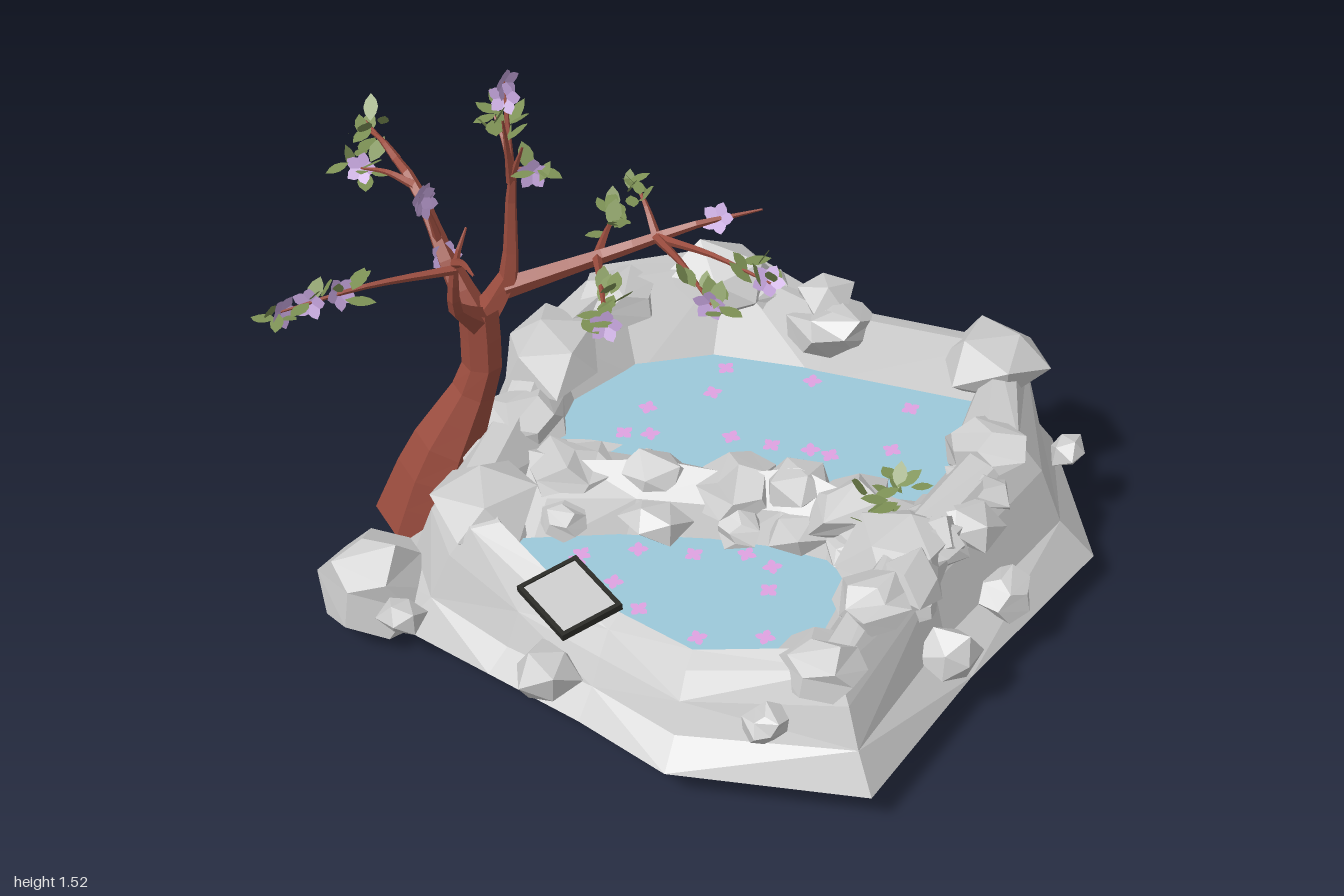
import * as THREE from 'three';

const mat = (color, side = THREE.FrontSide) =>
  new THREE.MeshStandardMaterial({ color, side, flatShading: true });
const lerp = THREE.MathUtils.lerp;

let seed = 7;
const rnd = () => (seed = (seed * 16807) % 2147483647) / 2147483647;

// Skin between rows of [x, y, z] points
function loft(rows, closed) {
  const pos = [];
  const n = rows[0].length;
  for (let r = 0; r < rows.length - 1; r++) {
    for (let i = 0; i < (closed ? n : n - 1); i++) {
      const j = (i + 1) % n;
      const [a, b, c, d] = [rows[r][i], rows[r][j], rows[r + 1][j], rows[r + 1][i]];
      pos.push(...((i + r) % 2 ? [a, b, c, a, c, d] : [a, b, d, b, c, d]).flat());
    }
  }
  const g = new THREE.BufferGeometry();
  g.setAttribute('position', new THREE.Float32BufferAttribute(pos, 3));
  g.computeVertexNormals();
  return g;
}

// Tapering branch along a curve
function branchGeometry(curve, radii, sides) {
  const seg = 8;
  const g = new THREE.TubeGeometry(curve, seg, 1, sides, false);
  const p = g.attributes.position;
  for (let i = 0; i <= seg; i++) {
    const c = curve.getPointAt(i / seg);
    const t = (i / seg) * (radii.length - 1);
    const k = Math.min(Math.floor(t), radii.length - 2);
    const r = lerp(radii[k], radii[k + 1], t - k);
    for (let j = 0; j <= sides; j++) {
      const q = i * (sides + 1) + j;
      const v = new THREE.Vector3().fromBufferAttribute(p, q).sub(c).multiplyScalar(r).add(c);
      p.setXYZ(q, v.x, v.y, v.z);
    }
  }
  return g;
}

// Irregular boulder: corners pushed in and out by a rule
function rockGeometry(k) {
  const g = k % 2 ? new THREE.IcosahedronGeometry(1, 0) : new THREE.DodecahedronGeometry(1, 0);
  const p = g.attributes.position;
  for (let i = 0; i < p.count; i++) {
    const f = 0.98 + 0.17 * Math.sin(p.getX(i) * 5.1 + p.getY(i) * 7.7 + p.getZ(i) * 3.3 + k * 2.1);
    p.setXYZ(i, p.getX(i) * f, p.getY(i) * f, p.getZ(i) * f);
  }
  return g;
}

// Flat pointed leaf or petal growing along +y
function bladeGeometry(length, width) {
  const s = new THREE.Shape();
  s.quadraticCurveTo(width, length * 0.5, 0, length);
  s.quadraticCurveTo(-width, length * 0.5, 0, 0);
  return new THREE.ShapeGeometry(s, 4);
}

export function createModel() {
  const root = new THREE.Group();
  const add = (parent, name, geo, material) => {
    const m = new THREE.Mesh(geo, material);
    m.name = name;
    parent.add(m);
    return m;
  };
  const group = (name) => {
    const g = new THREE.Group();
    g.name = name;
    root.add(g);
    return g;
  };
  const stone = mat(0xcccccc), stoneThin = mat(0xcccccc, THREE.DoubleSide);
  const water = mat(0x9cc9da, THREE.DoubleSide), bark = mat(0x9a4c3e);
  const leafMat = mat(0x7d9155, THREE.DoubleSide), bloomMat = mat(0xbfa0d6, THREE.DoubleSide);
  const petalMat = mat(0xdca0de, THREE.DoubleSide), dark = mat(0x2a2a26);

  // Mound stations, counterclockwise from the front: ground x, z, pool edge x, z, ridge height
  const stations = [
    [.2, .8, .2, .54, .3], [.49, .84, .42, .56, .31], [.97, .63, .66, .46, .36], [.96, .1, .62, .05, .43],
    [1, -.51, .63, -.3, .46], [.66, -.91, .55, -.58, .52], [.13, -.82, .13, -.47, .52], [-.33, -.9, -.15, -.37, .57],
    [-.78, -.56, -.3, -.22, .58], [-.73, -.05, -.35, 0, .52], [-.64, .22, -.3, .16, .45], [-.6, .6, -.2, .5, .43],
    [-.4, .76, -.1, .53, .41], [-.1, .78, 0, .54, .34]];
  const ring = (t, height, wobble = 0) => stations.map((s, i) => {
    const u = t + wobble * Math.sin(i * 2.4);
    return [lerp(s[0], s[2], u), height(s) + wobble * .5 * Math.sin(i * 3.7), lerp(s[1], s[3], u)];
  });
  const ground = ring(0, () => .1);
  const lip = ring(.74, (s) => s[4] + .03, .03);
  const poolEdge = ring(1, (s) => (s[3] > .3 ? .25 : .36));
  const slope = [ring(.24, (s) => .12 + s[4] * .18, .04), ring(.38, (s) => s[4] * .82, .03), ring(.54, (s) => s[4] + .01, .04)];
  add(root, 'rockMound', loft([ground, ...slope, lip, poolEdge], true), stone);

  // Stone step between the two pools: x, back z, front z, crest height
  const cols = [[-.42, .14, .56, .42], [-.2, .1, .45, .41], [0, .03, .3, .43], [.2, -.02, .19, .42],
    [.35, -.12, .13, .45], [.5, -.1, .1, .43], [.63, -.18, .2, .43], [.74, -.2, .26, .44]];
  const stepRow = (t, height) => cols.map((c) => [c[0], height(c), lerp(c[2], c[1], t)]);
  const crest = stepRow(.6, (c) => c[3]);
  const brow = stepRow(.25, () => .36);
  add(root, 'stoneStep', loft([stepRow(0, () => .23), brow, crest, stepRow(1, () => .35)], false), stoneThin);

  // Pools bounded by the mound and the step, each with a bed just above the floor opening
  const flat = (p) => [p[0], p[2]];
  const inner = cols.slice(1, -1);
  const pools = [
    { name: 'upperPool', y: .39, pts: [...poolEdge.slice(4, 11).map(flat), ...inner.map((c) => [c[0], c[1]])] },
    { name: 'lowerPool', y: .275, pts: [...poolEdge.slice(11).map(flat), ...poolEdge.slice(0, 3).map(flat),
      ...inner.map((c) => [c[0], c[2]]).reverse()] },
  ];
  const trace = (pts, C) => new C(pts.map(([x, z]) => new THREE.Vector2(x, -z)));
  const level = (shape, y) => new THREE.ShapeGeometry(shape).rotateX(-Math.PI / 2).translate(0, y, 0);
  const floor = trace(ground.map(flat), THREE.Shape);
  pools.forEach(({ name, y, pts }) => {
    const mid = [.2, name === 'upperPool' ? -.2 : .37];
    const spread = pts.map((p) => p.map((v, i) => mid[i] + (v - mid[i]) * 1.07));
    add(root, name, level(trace(spread, THREE.Shape), y), water);
    add(root, name + 'Bed', level(trace(pts, THREE.Shape), .15), water);
    const wall = (h) => pts.map(([x, z]) => [x, h, z]);
    add(root, name + 'Basin', loft([wall(.1), wall(.15)], true), stoneThin);
    floor.holes.push(trace(pts, THREE.Path));
  });
  add(root, 'moundFloor', level(floor, .1), stoneThin);

  // Boulders: single ones round the mound and below the floor
  const boulders = group('boulders');
  const rocks = [[-.53, .15, .68, .16], [-.38, .17, .78, .06], [-.75, .17, -.05, .06], [.08, .18, .76, .09], [.71, .29, .72, .055],
    [.92, .2, .15, .08], [.92, .2, -.14, .08], [.81, .27, -.69, .055], [-.07, .54, -.56, .06], [.07, .54, -.61, .085],
    [.4, .1, .14, .11], [-.2, .1, -.08, .11], [.12, .1, -.5, .08], [.66, .1, .42, .06], [.1, .1, .45, .06]];
  const place = ([x, y, z, r], k, flatness) => {
    const m = add(boulders, 'boulder', rockGeometry(k), stone);
    m.position.set(x, y, z);
    m.scale.set(r * 1.05, r * flatness, r);
    m.rotation.set(0, k * 1.3, flatness < .9 ? .3 * Math.sin(k * 2) : 0);
  };
  rocks.forEach((r, k) => place(r, k, .95));

  // Slabs lying along the pool rim, the right-hand ledge and the step
  const slabs = [];
  lip.slice(2, 12).forEach(([x, y, z], i) => slabs.push([x, y - .05, z, .12 + .03 * (i % 2)]));
  for (let i = 0; i < 5; i++) slabs.push([.76 + .04 * (i % 2), .4, .3 - i * .14, .1]);
  crest.forEach(([x, y, z], i) => slabs.push([x, y - .05, z, .1 + .02 * (i % 2)]));
  brow.forEach(([x, y, z], i) => slabs.push([x + .06, y - .04, z, .09 - .02 * (i % 2)]));
  slabs.forEach((r, k) => place(r, k, .65));

  // Tree: trunk and main limbs
  const tree = group('tree');
  const path = (pts) => new THREE.CatmullRomCurve3(pts.map((p) => new THREE.Vector3(...p)), false, 'catmullrom', .25);
  add(tree, 'trunk', branchGeometry(path([[-.61, .13, .36], [-.56, .35, .34], [-.47, .62, .27], [-.47, .83, .27]]),
    [.145, .105, .056, .056], 7), bark);
  const limbs = [
    [[-.47, .78, .26], [-.41, .92, .21], [-.4, 1.2, .2], [-.33, 1.36, .24]],
    [[-.48, .79, .27], [-.56, .92, .27], [-.7, 1.1, .22], [-.97, 1.13, .08]],
    [[-.47, .78, .27], [-.44, .92, .41], [-.4, 1.1, .45], [-.39, 1.19, .41]],
    [[-.42, .88, .22], [-.2, .96, .01], [-.03, 1.05, -.08], [.1, 1.07, -.22]],
  ].map(path);
  limbs.forEach((c, i) => add(tree, 'limb', branchGeometry(c, [i < 3 ? .045 : .032, .022, .014, .003], 5), bark));

  // Leaves and five-petalled blossoms
  const foliage = group('foliage');
  const leafGeo = bladeGeometry(.075, .04), petalGeo = bladeGeometry(.047, .036);
  const leaves = (p, n, spread) => {
    for (let i = 0; i < n; i++) {
      const m = add(foliage, 'leaf', leafGeo, leafMat);
      m.position.set(rnd() - .5, rnd() - .5, rnd() - .5).multiplyScalar(spread).add(p);
      m.rotation.set(1.1 + (rnd() - .5) * 1.4, rnd() * 6.28, (rnd() - .5) * .8, 'YXZ');
      m.scale.setScalar(.75 + rnd() * .4);
    }
  };
  const blossom = (p) => {
    const f = new THREE.Group();
    f.name = 'blossom';
    for (let i = 0; i < 5; i++) add(f, 'petal', petalGeo, bloomMat).rotation.set(.3, 0, i * Math.PI * .4, 'ZXY');
    f.position.copy(p);
    f.rotation.set(-rnd() * 1.1, rnd() * 1.6, 0);
    foliage.add(f);
  };

  // Twigs: limb, place along it, tip x, y, z, leaf clusters, blossoms
  const twigs = [
    [0, .68, -.45, 1.47, .15, 0, 2], [0, .75, -.47, 1.37, .17, 3, 0], [0, .68, -.36, 1.45, .28, 0, 0], [0, .75, -.33, 1.26, .2, 1, 1],
    [1, .45, -.6, 1.16, .33, 0, 2], [1, .66, -.9, 1.07, .2, 2, 1], [1, .8, -.95, 1.12, .1, 2, 0], [2, .66, -.28, 1.15, .53, 0, 0],
    [2, .6, -.65, 1.09, .86, 3, 3], [3, .5, .32, 1.1, .09, 2, 1], [3, .5, .24, 1.09, .24, 2, 1], [3, .25, 0, 1, .36, 3, 1],
    [3, .25, -.36, .89, -.22, 3, 0], [3, .5, -.24, 1.08, -.13, 2, 0]];
  twigs.forEach(([limb, t, x, y, z, leafy, blooms]) => {
    const from = limbs[limb].getPoint(t), to = new THREE.Vector3(x, y, z);
    const mid = from.clone().lerp(to, .5);
    mid.y += .015;
    const curve = new THREE.CatmullRomCurve3([from, mid, to]);
    add(tree, 'twig', branchGeometry(curve, [.014, .008, .003], 5), bark);
    for (let i = 0; i < leafy; i++) leaves(curve.getPoint(1 - i * .2), 4, .05);
    for (let i = 0; i < blooms; i++) blossom(curve.getPoint(.97 - i * .16));
  });
  blossom(limbs[1].getPoint(.6));
  blossom(limbs[1].getPoint(.4));
  blossom(limbs[3].getPoint(.8));

  // Small plant among the stones on the right
  leaves(new THREE.Vector3(.63, .47, .02), 14, .12);

  // Fallen petals floating on the pools
  const floating = group('floatingPetals');
  pools.forEach(({ y, pts }, k) => {
    for (let n = 0; n < 12; n++) {
      const [px, pz] = pts[n % pts.length], t = .5 + rnd() * .4;
      for (let i = 0; i < 4; i++) {
        const m = add(floating, 'floatingPetal', petalGeo, petalMat);
        m.position.set(lerp(.2, px, t), y + .004, lerp(k ? .37 : -.25, pz, t));
        m.rotation.set(-Math.PI / 2 + .08, 0, i * 1.57 + n);
        m.scale.setScalar(.6);
      }
    }
  });

  // Blank framed plate resting on the front rim
  const plate = group('plate');
  add(plate, 'plateFace', new THREE.BoxGeometry(.2, .012, .16), stone);
  for (const s of [-1, 1]) {
    add(plate, 'frameLong', new THREE.BoxGeometry(.22, .02, .012), dark).position.z = s * .085;
    add(plate, 'frameShort', new THREE.BoxGeometry(.012, .02, .18), dark).position.x = s * .104;
  }
  plate.position.set(.07, .345, .645);
  plate.rotation.set(.12, -.4, 0);
  return root;
}
